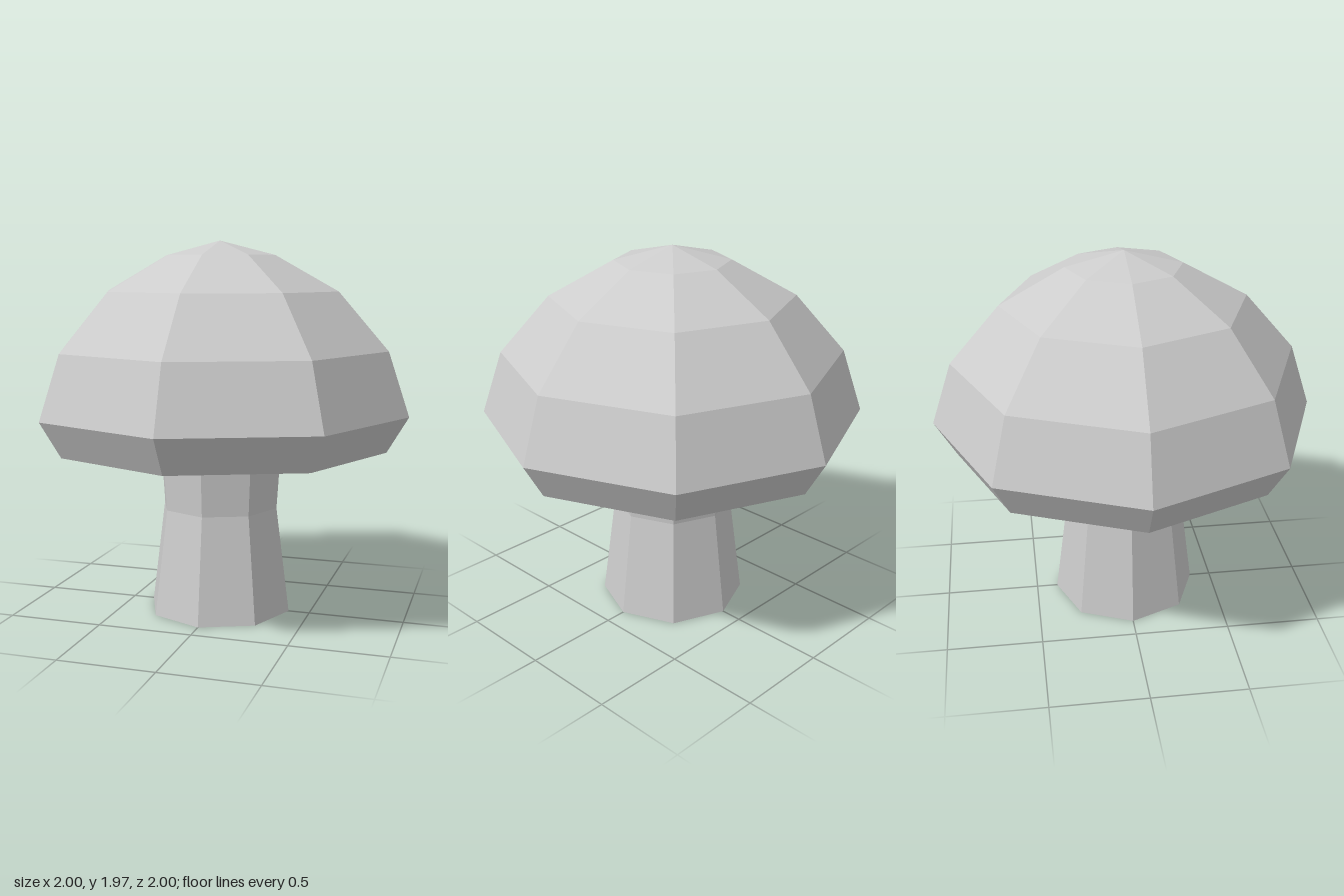
import * as THREE from 'three';

const SIDES = 8;

// Eight-sided turned part; the profile runs from bottom to top as [radius, height]
function turnedPart(name, profile, material) {
  const points = profile.map(([r, y]) => new THREE.Vector2(r, y));
  const geometry = new THREE.LatheGeometry(points, SIDES).toNonIndexed();
  geometry.computeVertexNormals();
  const mesh = new THREE.Mesh(geometry, material);
  mesh.name = name;
  return mesh;
}

export function createModel() {
  const model = new THREE.Group();
  model.name = 'mushroom';
  const grey = new THREE.MeshStandardMaterial({ color: 0xcccccc, flatShading: true });
  grey.name = 'light grey';

  // Stem: closed foot, narrow waist, flaring into the cap
  model.add(turnedPart('stem', [
    [0, 0], [0.387, 0], [0.315, 0.563], [0.337, 0.893],
  ], grey));

  // Cap: flat underside, bevelled rim and a faceted dome
  model.add(turnedPart('cap', [
    [0, 0.893], [0.89, 0.893], [1, 1.08], [0.89, 1.41],
    [0.63, 1.708], [0.297, 1.892], [0, 1.967],
  ], grey));

  return model;
}
